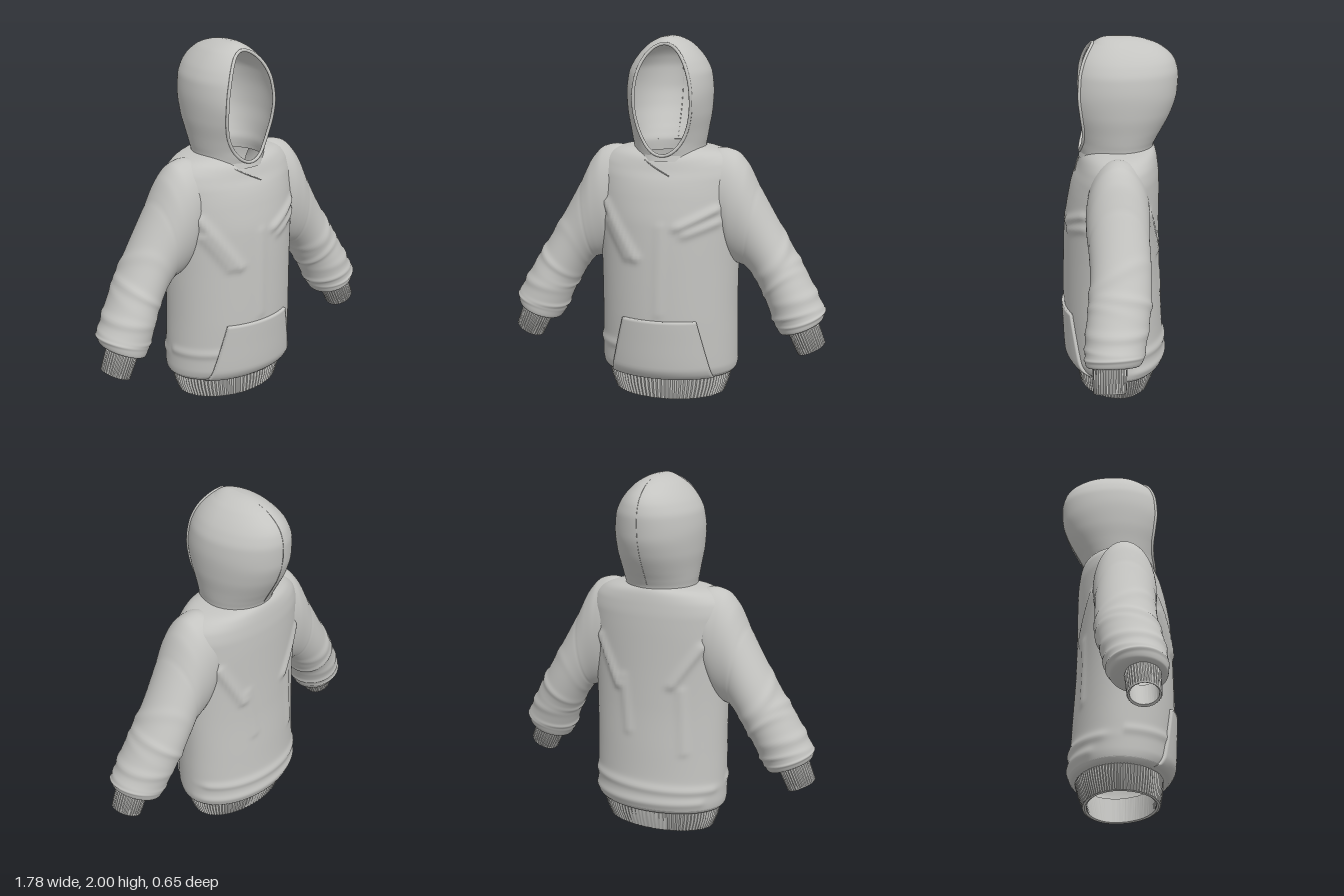
import * as THREE from 'three';
import { toCreasedNormals } from 'three/addons/utils/BufferGeometryUtils.js';

const TAU = Math.PI * 2;
const bump = (d, w) => Math.exp(-(d * d) / (w * w));

// Smooth monotone interpolation of rows [key, a, b, ...]
function profile(rows) {
  const slope = (i, c) => (rows[i + 1][c] - rows[i][c]) / (rows[i + 1][0] - rows[i][0]);
  const tangent = (i, c) => {
    if (i === 0) return slope(0, c);
    if (i === rows.length - 1) return slope(i - 1, c);
    const p = slope(i - 1, c), q = slope(i, c);
    return p * q <= 0 ? 0 : (2 * p * q) / (p + q);
  };
  return (key) => {
    let i = 0;
    while (i < rows.length - 2 && key > rows[i + 1][0]) i++;
    const h = rows[i + 1][0] - rows[i][0];
    const t = Math.min(1, Math.max(0, (key - rows[i][0]) / h)), t2 = t * t, t3 = t2 * t;
    return rows[i].slice(1).map((v, k) => {
      const c = k + 1;
      return v * (2 * t3 - 3 * t2 + 1) + rows[i + 1][c] * (3 * t2 - 2 * t3)
        + h * (tangent(i, c) * (t3 - 2 * t2 + t) + tangent(i + 1, c) * (t3 - t2));
    });
  };
}

// Surface from a grid of points; wraps around u when closed
function loft(nu, nv, point, closed = true) {
  const pos = [], idx = [], w = closed ? nu : nu + 1;
  for (let j = 0; j <= nv; j++) for (let i = 0; i < w; i++) pos.push(...point(i / nu, j, i));
  for (let j = 0; j < nv; j++) for (let i = 0; i < nu; i++) {
    const a = j * w + i, b = j * w + ((i + 1) % w), c = b + w, d = a + w;
    idx.push(a, b, c, a, c, d);
  }
  const g = new THREE.BufferGeometry();
  g.setAttribute('position', new THREE.Float32BufferAttribute(pos, 3));
  g.setIndex(idx);
  g.computeVertexNormals();
  return g;
}

// y, half width, front z, back z
const torsoAt = profile([
  [0.122, 0.33, 0.22, -0.2], [0.13, 0.362, 0.25, -0.235], [0.16, 0.384, 0.28, -0.257],
  [0.2, 0.388, 0.297, -0.262], [0.35, 0.387, 0.305, -0.248], [0.5, 0.385, 0.31, -0.24],
  [0.75, 0.388, 0.307, -0.226], [1, 0.4, 0.298, -0.222], [1.15, 0.41, 0.275, -0.222],
  [1.25, 0.41, 0.25, -0.22], [1.32, 0.39, 0.23, -0.213], [1.37, 0.34, 0.218, -0.204],
  [1.395, 0.28, 0.21, -0.195], [1.407, 0.2, 0.203, -0.186]]);

// Cloth folds: x1, y1, x2, y2, side (front 1, back -1), height
const folds = [
  [-0.32, 1.1, -0.13, 0.82, 1, 0.016], [-0.3, 1.0, -0.18, 0.82, 1, 0.012],
  [0.1, 1.0, 0.29, 1.09, 1, 0.016], [0.14, 0.96, 0.3, 1.02, 1, 0.012],
  [0, 0.52, 0.01, 1.0, 1, 0.006], [-0.38, 0.3, -0.15, 0.31, 1, 0.008],
  [0.3, 1.1, 0.17, 0.85, -1, 0.016], [-0.3, 1.1, -0.15, 0.88, -1, 0.016],
  [0.14, 0.9, 0.1, 0.6, -1, 0.008], [-0.2, 0.85, -0.22, 0.5, -1, 0.008],
  [-0.35, 0.27, 0.35, 0.29, -1, 0.01], [-0.3, 0.2, 0.36, 0.19, -1, 0.008]];

function foldHeight(x, y, z) {
  let sum = 0;
  for (const [x1, y1, x2, y2, side, h] of folds) {
    if (z * side < 0) continue;
    const dx = x2 - x1, dy = y2 - y1;
    const t = Math.min(1, Math.max(0, ((x - x1) * dx + (y - y1) * dy) / (dx * dx + dy * dy)));
    sum += h * bump(Math.hypot(x - x1 - t * dx, y - y1 - t * dy), 0.024);
  }
  return sum;
}

function torsoGeometry() {
  const nv = 110;
  return loft(112, nv, (u, j) => {
    const t = j / nv, s = t + 0.05 * Math.sin(TAU * t) * -1; // denser rows at both ends
    const y = 0.122 + 1.285 * Math.min(1, Math.max(0, s < 0 || t < 0.03 ? t : s));
    const [w, f, b] = torsoAt(y), a = u * TAU, c = Math.cos(a);
    const x = w * Math.sin(a), z = c * (c > 0 ? f : -b), k = foldHeight(x, y, z);
    const dip = 0.05 * Math.max(0, c) ** 4 * THREE.MathUtils.smoothstep(y, 1.2, 1.4);
    return [x + k * Math.sin(a), y - dip, z + k * c];
  });
}

// Front pocket: a raised patch that follows the belly
function pocketGeometry() {
  const n = 32, m = 24;
  return loft(n, m, (u, j, i) => {
    const edge = i === 0 || i === n || j === 0 || j === m;
    const v = THREE.MathUtils.clamp((j - 1) / (m - 2), 0, 1);
    const uu = THREE.MathUtils.clamp((i - 1) / (n - 2), 0, 1);
    const y = 0.135 + 0.345 * v, x = (uu * 2 - 1) * (0.28 - 0.08 * v);
    const [w, f] = torsoAt(y), c = Math.sqrt(1 - (x / w) ** 2), off = edge ? -0.01 : 0.016;
    return [x + off * x / w, y, f * c + off * c];
  }, false);
}

// Ribbed hem: inner wall, lower rim and outer wall
function hemGeometry() {
  const rows = [[0.15, 0.325, 0.215, -0.195], [0.006, 0.29, 0.205, -0.16], [0, 0.3, 0.215, -0.17],
    [0.004, 0.313, 0.226, -0.181], [0.07, 0.338, 0.237, -0.205], [0.135, 0.352, 0.242, -0.222]];
  return toCreasedNormals(loft(360, 5, (u, j, i) => {
    const [y, w, f, b] = rows[j], a = u * TAU, r = 1 + (j > 2 ? 0.012 : 0.004) * Math.sin(i * TAU / 4);
    const c = Math.cos(a);
    return [w * r * Math.sin(a), y, r * c * (c > 0 ? f : -b)];
  }), 0.8);
}

// Ring through an outer and an inner point, on side s
function ring([ox, oy, ix, iy, zc, zr], a, s, k = 1) {
  const c = Math.cos(a) * k / 2;
  return [s * ((ox + ix) / 2 + (ox - ix) * c), (oy + iy) / 2 + (oy - iy) * c, zc + zr * k * s * Math.sin(a)];
}

// step, outer x y, inner x y, centre z, half depth
const sleeveAt = profile([
  [0, 0.22, 1.385, 0.22, 0.95, 0.015, 0.14], [1, 0.3, 1.403, 0.3, 0.86, 0.015, 0.165],
  [2, 0.37, 1.388, 0.345, 0.79, 0.018, 0.17], [3, 0.435, 1.325, 0.385, 0.765, 0.018, 0.167],
  [4, 0.5, 1.2, 0.425, 0.75, 0.015, 0.162], [5, 0.6, 1.02, 0.47, 0.705, 0.01, 0.16],
  [6, 0.7, 0.85, 0.52, 0.62, 0.015, 0.162], [7, 0.775, 0.725, 0.555, 0.555, 0.03, 0.163],
  [8, 0.845, 0.595, 0.59, 0.47, 0.045, 0.158], [9, 0.878, 0.53, 0.615, 0.42, 0.052, 0.152],
  [10, 0.872, 0.488, 0.64, 0.39, 0.06, 0.138], [11, 0.85, 0.468, 0.67, 0.393, 0.07, 0.105],
  [12, 0.83, 0.465, 0.695, 0.405, 0.075, 0.08]]);

function sleeveGeometry(s) {
  const nv = 120;
  const wrinkles = [[5.3, 0.5, 1], [6.1, 0.3, -0.5], [6.7, -0.4, 2], [7.4, 0.3, 0], [8.3, -0.3, 2.6], [8.9, 0.25, 0.6]];
  return loft(64, nv, (u, j) => {
    const t = 12 * j / nv, a = u * TAU;
    let k = 1;
    for (const [at, slant, face] of wrinkles)
      k += 0.055 * bump(t - at - slant * Math.cos(a - face), 0.17) * (0.55 + 0.45 * Math.cos(a - face));
    k -= 0.012 * bump(t - 4, 0.1); // shoulder seam
    return ring(sleeveAt(t), a, s, k);
  });
}

function cuffGeometry(s) {
  const rows = [[0.842, 0.475, 0.682, 0.4, 0.075, 0.088], [0.887, 0.352, 0.741, 0.281, 0.078, 0.084],
    [0.884, 0.344, 0.745, 0.277, 0.078, 0.08], [0.876, 0.347, 0.753, 0.287, 0.078, 0.071],
    [0.828, 0.47, 0.696, 0.41, 0.075, 0.074]];
  return toCreasedNormals(loft(144, 4, (u, j, i) =>
    ring(rows[j], u * TAU, s, 1 + (j < 2 ? 0.022 : 0.008) * Math.sin(i * TAU / 4))), 0.8);
}

// y, half width, z of the face edge, back z
const hoodAt = profile([
  [1.34, 0.205, 0.222, -0.19], [1.4, 0.198, 0.208, -0.187], [1.45, 0.206, 0.195, -0.207],
  [1.5, 0.214, 0.192, -0.235], [1.6, 0.23, 0.203, -0.285], [1.7, 0.235, 0.213, -0.313],
  [1.8, 0.224, 0.208, -0.318], [1.86, 0.198, 0.195, -0.305], [1.9, 0.17, 0.18, -0.282],
  [1.95, 0.122, 0.15, -0.222], [1.965, 0.102, 0.138, -0.192], [1.985, 0.066, 0.11, -0.13],
  [1.996, 0.034, 0.08, -0.075], [2, 0, 0.05, -0.03]]);
const faceY = 1.67, faceW = 0.157, faceH = 0.295;

function hoodPoint(y, u) {
  const [w, e, b] = hoodAt(y);
  const open = faceW * Math.sqrt(Math.max(0, 1 - ((y - faceY) / faceH) ** 2));
  const start = w > 0 ? Math.asin(Math.min(0.95, open / w)) : 0;
  const a = start + u * (TAU - 2 * start), c = Math.cos(a);
  return [w * Math.sin(a), y, c * (c > 0 ? e / Math.cos(start) : -b)];
}

function hoodGeometry() {
  const ys = [1.345, 1.36];
  for (let i = 0; i <= 64; i++) ys.push(faceY - faceH * Math.cos(Math.PI * i / 64));
  for (let i = 1; i <= 10; i++) ys.push(2 - 0.035 * (1 - i / 10) ** 2);
  return loft(80, ys.length - 1, (u, j) => hoodPoint(ys[j], u), false);
}

// Rolled edge around the face opening
function rimGeometry() {
  const pts = [];
  for (let i = 0; i < 72; i++) {
    const a = TAU * i / 72;
    const p = hoodPoint(faceY - faceH * Math.cos(a), Math.sin(a) >= 0 ? 0 : 1);
    pts.push(new THREE.Vector3(...p));
  }
  return new THREE.TubeGeometry(new THREE.CatmullRomCurve3(pts, true), 144, 0.009, 8, true);
}

// Thin seam tube through points
const seam = (pts, r = 0.003) =>
  new THREE.TubeGeometry(new THREE.CatmullRomCurve3(pts.map((p) => new THREE.Vector3(...p))), 40, r, 6);

export function createModel() {
  const model = new THREE.Group();
  model.name = 'hoodedSweatshirt';
  const cloth = new THREE.MeshStandardMaterial({ color: 0xc4c4c1, side: THREE.DoubleSide });
  cloth.name = 'grey cloth';
  const add = (name, geometry) => {
    const mesh = new THREE.Mesh(geometry, cloth);
    mesh.name = name;
    model.add(mesh);
  };
  add('torso', torsoGeometry());
  add('frontPocket', pocketGeometry());
  add('hemBand', hemGeometry());
  add('hood', hoodGeometry());
  add('hoodRim', rimGeometry());
  // Overlap line below the neck opening
  add('necklineSeam', seam([[-0.1, 1.35, 0.198], [-0.03, 1.31, 0.227], [0.05, 1.27, 0.242]]));
  // Centre seam over the back of the hood
  add('hoodSeam', seam([1.42, 1.5, 1.6, 1.7, 1.8, 1.86, 1.9, 1.95, 1.98].map((y) => hoodPoint(y, 0.5)), 0.002));
  for (const [side, s] of [['left', 1], ['right', -1]]) {
    add(side + 'Sleeve', sleeveGeometry(s));
    add(side + 'Cuff', cuffGeometry(s));
  }
  return model;
}
